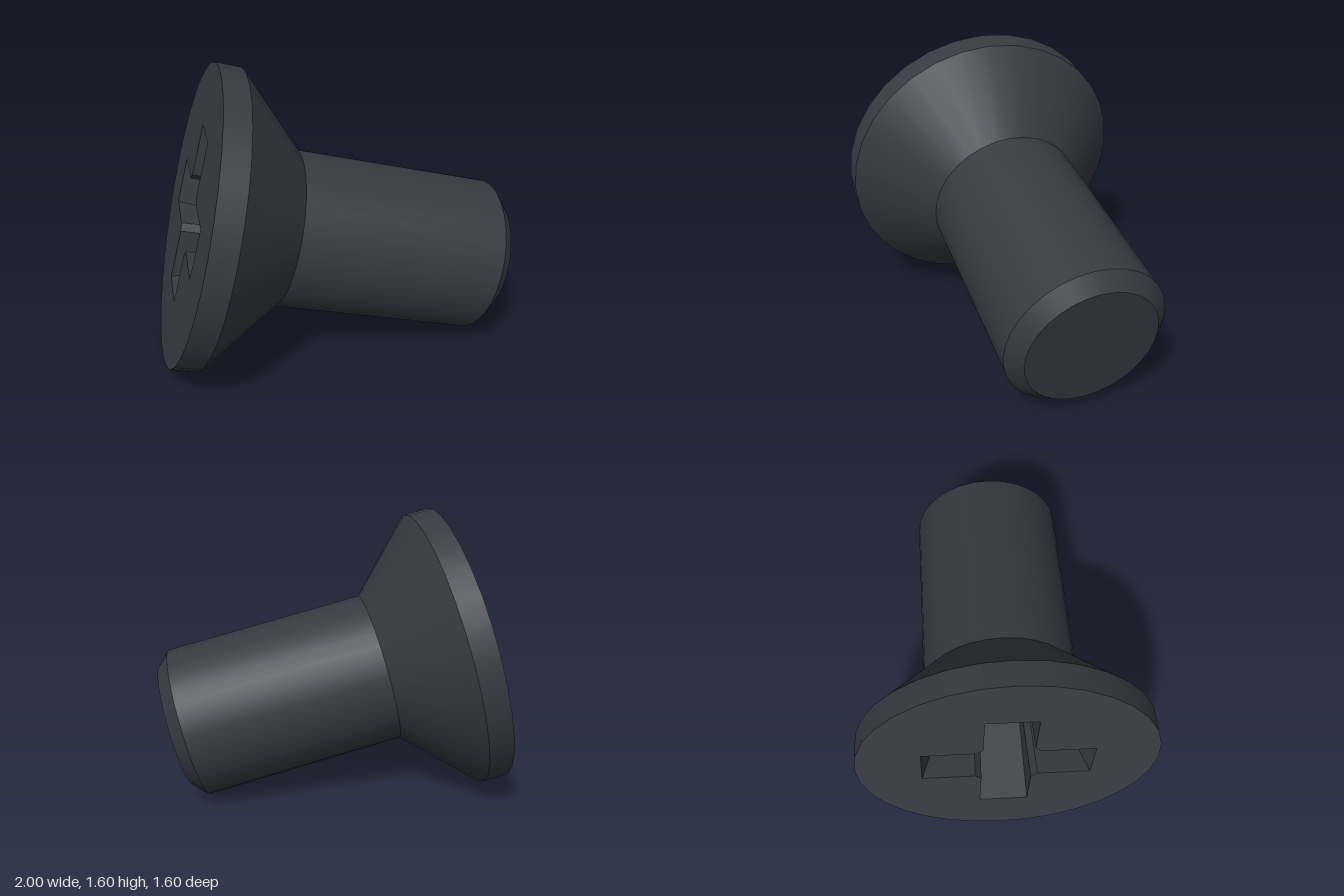
import * as THREE from 'three';

const SIDES = 32;
const HEAD_R = 0.807, SHAFT_R = 0.43, TIP_R = 0.353;

// Cross outline, counter-clockwise: arm reach, half width, inner corner chamfer
function crossPoints(reach, half, chamfer) {
  const arm = [[reach, -half], [reach, half], [half + chamfer, half], [half, half + chamfer]];
  const points = [];
  for (let i = 0; i < 4; i++) {
    for (const [x, y] of arm) {
      points.push(new THREE.Vector2(x, y).rotateAround(new THREE.Vector2(), i * Math.PI / 2));
    }
  }
  return points;
}

// Flat walls running from the outer outline down to the inner one
function recessWalls(top, bottom, depth) {
  const positions = [];
  top.forEach((p, i) => {
    const j = (i + 1) % top.length;
    const t0 = [p.x, p.y, 0], t1 = [top[j].x, top[j].y, 0];
    const b0 = [bottom[i].x, bottom[i].y, -depth], b1 = [bottom[j].x, bottom[j].y, -depth];
    positions.push(...t0, ...t1, ...b1, ...t0, ...b1, ...b0);
  });
  const geometry = new THREE.BufferGeometry();
  geometry.setAttribute('position', new THREE.Float32BufferAttribute(positions, 3));
  geometry.computeVertexNormals();
  return geometry;
}

export function createModel() {
  const darkMetal = new THREE.MeshStandardMaterial({ color: 0x353b41 });
  darkMetal.name = 'darkMetal';

  // Built along its own z axis: head face at z = 0, tip towards -z
  const screw = new THREE.Group();
  screw.name = 'screw';
  const add = (name, geometry) => {
    const mesh = new THREE.Mesh(geometry, darkMetal);
    mesh.name = name;
    screw.add(mesh);
    return mesh;
  };

  // Turned body: name, front radius, back radius, start depth, end depth
  const sections = [
    ['headRim', HEAD_R, HEAD_R, 0, 0.137],
    ['headCone', HEAD_R, SHAFT_R, 0.137, 0.515],
    ['shaft', SHAFT_R, SHAFT_R, 0.515, 1.648],
    ['tipChamfer', SHAFT_R, TIP_R, 1.648, 1.725],
  ];
  for (const [name, r0, r1, s0, s1] of sections) {
    const geometry = new THREE.CylinderGeometry(r0, r1, s1 - s0, SIDES, 1, true);
    geometry.rotateX(Math.PI / 2).translate(0, 0, -(s0 + s1) / 2);
    add(name, geometry);
  }

  // Flat end of the shaft
  const tip = new THREE.CircleGeometry(TIP_R, SIDES);
  add('tipFace', tip.rotateY(Math.PI).translate(0, 0, -1.725));

  // Head face with the cross-shaped opening
  const opening = crossPoints(0.457, 0.135, 0.035);
  const floor = crossPoints(0.3, 0.12, 0.035);
  const depth = 0.45;
  const rim = [];
  for (let i = 0; i < SIDES; i++) {
    const a = i * 2 * Math.PI / SIDES;
    rim.push(new THREE.Vector2(HEAD_R * Math.cos(a), HEAD_R * Math.sin(a)));
  }
  const face = new THREE.Shape(rim);
  face.holes.push(new THREE.Path(opening));
  add('headFace', new THREE.ShapeGeometry(face));

  // Tapered cross recess
  add('recessWalls', recessWalls(opening, floor, depth));
  add('recessFloor', new THREE.ShapeGeometry(new THREE.Shape(floor)).translate(0, 0, -depth));

  // Lay the screw on its side, resting on the head rim and the shaft end
  const back = new THREE.Vector3(-0.9506, 0.2424, -0.1939).normalize();
  const across = new THREE.Vector3(-0.208, -0.034, 0.977);
  const up = new THREE.Vector3().crossVectors(back, across).normalize();
  across.crossVectors(up, back);
  screw.quaternion.setFromRotationMatrix(new THREE.Matrix4().makeBasis(across, up, back));
  screw.position.set(-0.75, 0.816, -0.013);

  const model = new THREE.Group();
  model.name = 'countersunkScrew';
  model.add(screw);
  return model;
}
